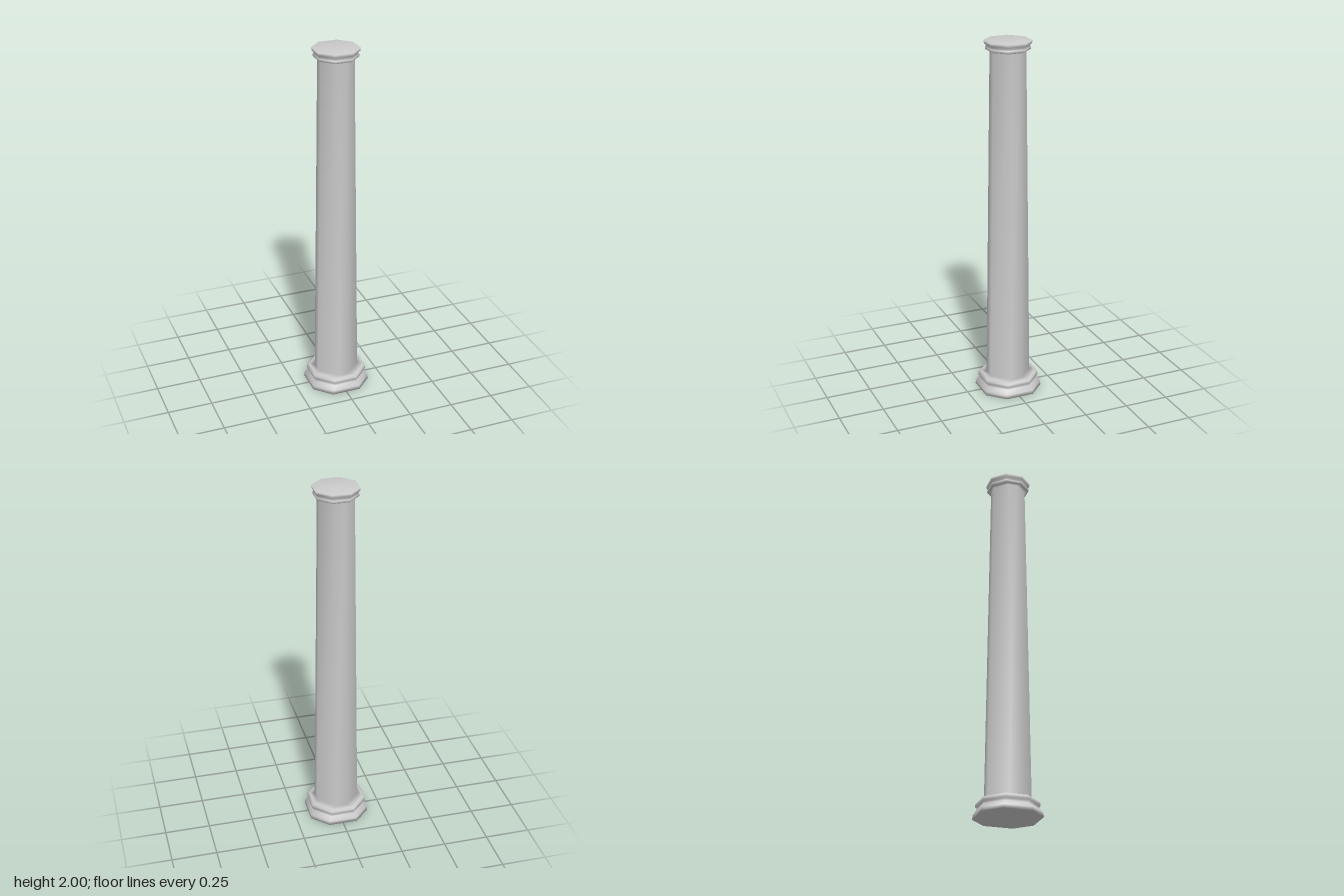
import * as THREE from 'three';

// Rings from bottom to top: [height, half width, half length of the straight sides]
const RINGS = [
  [0.00, 0.168, 0.080],
  [0.022, 0.166, 0.078],
  [0.045, 0.152, 0.064],
  [0.058, 0.148, 0.062],
  [0.062, 0.156, 0.065],
  [0.079, 0.156, 0.065],
  [0.088, 0.145, 0.058],
  [0.090, 0.120, 0.030], // shaft foot
  [1.947, 0.094, 0.024], // shaft head
  [1.949, 0.104, 0.043],
  [1.954, 0.111, 0.046],
  [1.966, 0.111, 0.046],
  [1.972, 0.104, 0.043],
  [1.984, 0.115, 0.049],
  [2.00, 0.117, 0.050],
];
const SHAFT_FOOT = 7;
const SHAFT_HEAD = 8;
const SIDES = 8;

// Eight corners of a square with cut corners, turning from +x towards +z
function octagon(y, w, f) {
  return [[w, -f], [w, f], [f, w], [-f, w], [-w, f], [-w, -f], [-f, -w], [f, -w]]
    .flatMap(([x, z]) => [x, y, z]);
}

// Side faces between two rings of the profile
function wall(from, to) {
  const index = [];
  for (let r = from; r < to; r++) {
    for (let i = 0; i < SIDES; i++) {
      const j = (i + 1) % SIDES;
      const a = r * SIDES + i, b = r * SIDES + j;
      const c = a + SIDES, d = b + SIDES;
      index.push(a, c, b, b, c, d);
    }
  }
  return index;
}

// Fan closing one ring around a centre vertex
function lid(ring, centre, up) {
  const index = [];
  for (let i = 0; i < SIDES; i++) {
    const a = ring * SIDES + i, b = ring * SIDES + (i + 1) % SIDES;
    index.push(centre, ...(up ? [b, a] : [a, b]));
  }
  return index;
}

export function createModel() {
  const group = new THREE.Group();
  group.name = 'column';
  const material = new THREE.MeshStandardMaterial({ color: 0xcccccc });

  const last = RINGS.length - 1;
  const bottomCentre = RINGS.length * SIDES;
  const points = RINGS.flatMap((ring) => octagon(...ring));
  points.push(0, 0, 0, 0, RINGS[last][0], 0);

  const parts = {
    base: [...lid(0, bottomCentre, false), ...wall(0, SHAFT_FOOT)],
    shaft: wall(SHAFT_FOOT, SHAFT_HEAD),
    capital: [...wall(SHAFT_HEAD, last), ...lid(last, bottomCentre + 1, true)],
  };

  // Smooth normals run across the whole column, so the parts share them
  const whole = new THREE.BufferGeometry();
  whole.setAttribute('position', new THREE.Float32BufferAttribute(points, 3));
  whole.setIndex(Object.values(parts).flat());
  whole.computeVertexNormals();

  for (const [name, index] of Object.entries(parts)) {
    const geometry = whole.clone();
    geometry.setIndex(index);
    const mesh = new THREE.Mesh(geometry, material);
    mesh.name = name;
    group.add(mesh);
  }
  return group;
}
